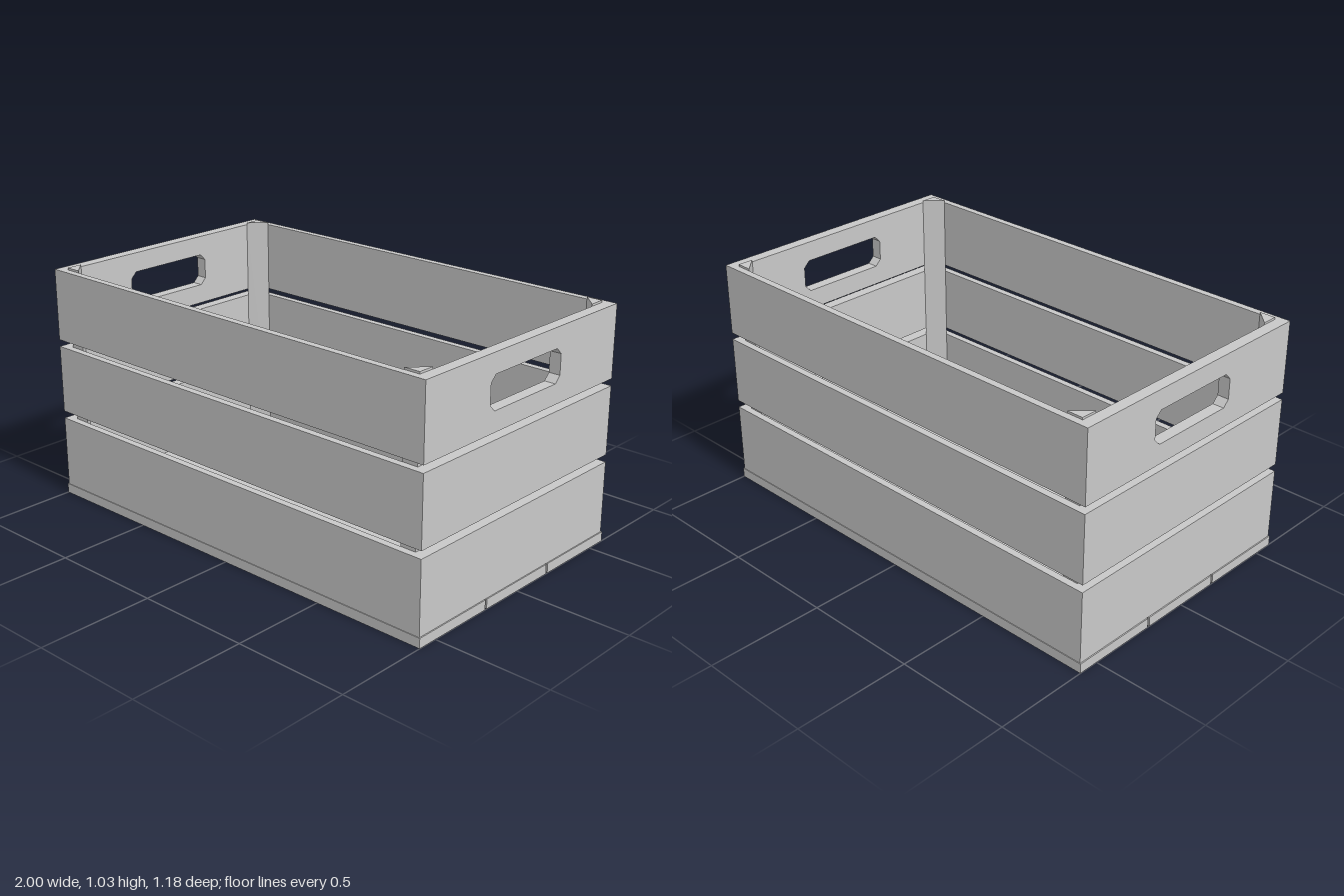
import * as THREE from 'three';

export function createModel() {
  const crate = new THREE.Group();
  crate.name = 'crate';
  const grey = new THREE.MeshStandardMaterial({ color: 0xc8c8c8 });
  grey.name = 'light grey';

  const add = (geometry, name, x, y, z) => {
    const mesh = new THREE.Mesh(geometry, grey);
    mesh.name = name;
    mesh.position.set(x, y, z);
    crate.add(mesh);
    return mesh;
  };

  const halfX = 0.995, halfZ = 0.587; // outer faces of the walls
  const innerX = 0.945, innerZ = 0.557; // inner faces of the walls
  const floorTop = 0.042;
  const rows = [[floorTop, 0.353], [0.385, 0.68], [0.71, 1.02]];

  // Floor: three boards with narrow gaps, slightly wider than the walls
  for (const [z0, z1] of [[-0.59, -0.2025], [-0.193, 0.193], [0.2025, 0.59]]) {
    add(new THREE.BoxGeometry(2, floorTop, z1 - z0), 'floorBoard', 0, floorTop / 2, (z0 + z1) / 2);
  }

  // End board, its profile drawn in z and y, with an optional hand hole
  const endBoard = (y0, y1, hasHandle) => {
    const shape = new THREE.Shape([[-halfZ, y0], [halfZ, y0], [halfZ, y1], [-halfZ, y1]]
      .map(([z, y]) => new THREE.Vector2(z, y)));
    if (hasHandle) {
      const w = 0.217, low = 0.795, high = 0.935, c = 0.027;
      shape.holes.push(new THREE.Path([
        [-w + c, low], [-w, low + c], [-w, high - c], [-w + c, high],
        [w - c, high], [w, high - c], [w, low + c], [w - c, low],
      ].map(([z, y]) => new THREE.Vector2(z, y))));
    }
    const depth = halfX - innerX;
    return new THREE.ExtrudeGeometry(shape, { depth, bevelEnabled: false })
      .translate(0, 0, -depth / 2)
      .rotateY(Math.PI / 2);
  };

  // Walls: three rows of boards on every side
  rows.forEach(([y0, y1], i) => {
    for (const side of [-1, 1]) {
      add(new THREE.BoxGeometry(2 * innerX, y1 - y0, halfZ - innerZ), 'longBoard',
        0, (y0 + y1) / 2, side * (halfZ + innerZ) / 2);
      add(endBoard(y0, y1, i === 2), 'endBoard', side * (halfX + innerX) / 2, 0, 0);
    }
  });

  // Triangular corner posts, standing slightly proud of the walls
  const leg = 0.069, postTop = 1.029;
  for (const sx of [-1, 1]) {
    for (const sz of [-1, 1]) {
      // After the rotation, shape y points along -z
      const shape = new THREE.Shape([
        new THREE.Vector2(0, 0),
        new THREE.Vector2(-sx * leg, 0),
        new THREE.Vector2(0, sz * leg),
      ]);
      const post = new THREE.ExtrudeGeometry(shape, { depth: postTop - floorTop, bevelEnabled: false })
        .rotateX(-Math.PI / 2);
      add(post, 'cornerPost', sx * innerX, floorTop, sz * innerZ);
    }
  }

  return crate;
}
